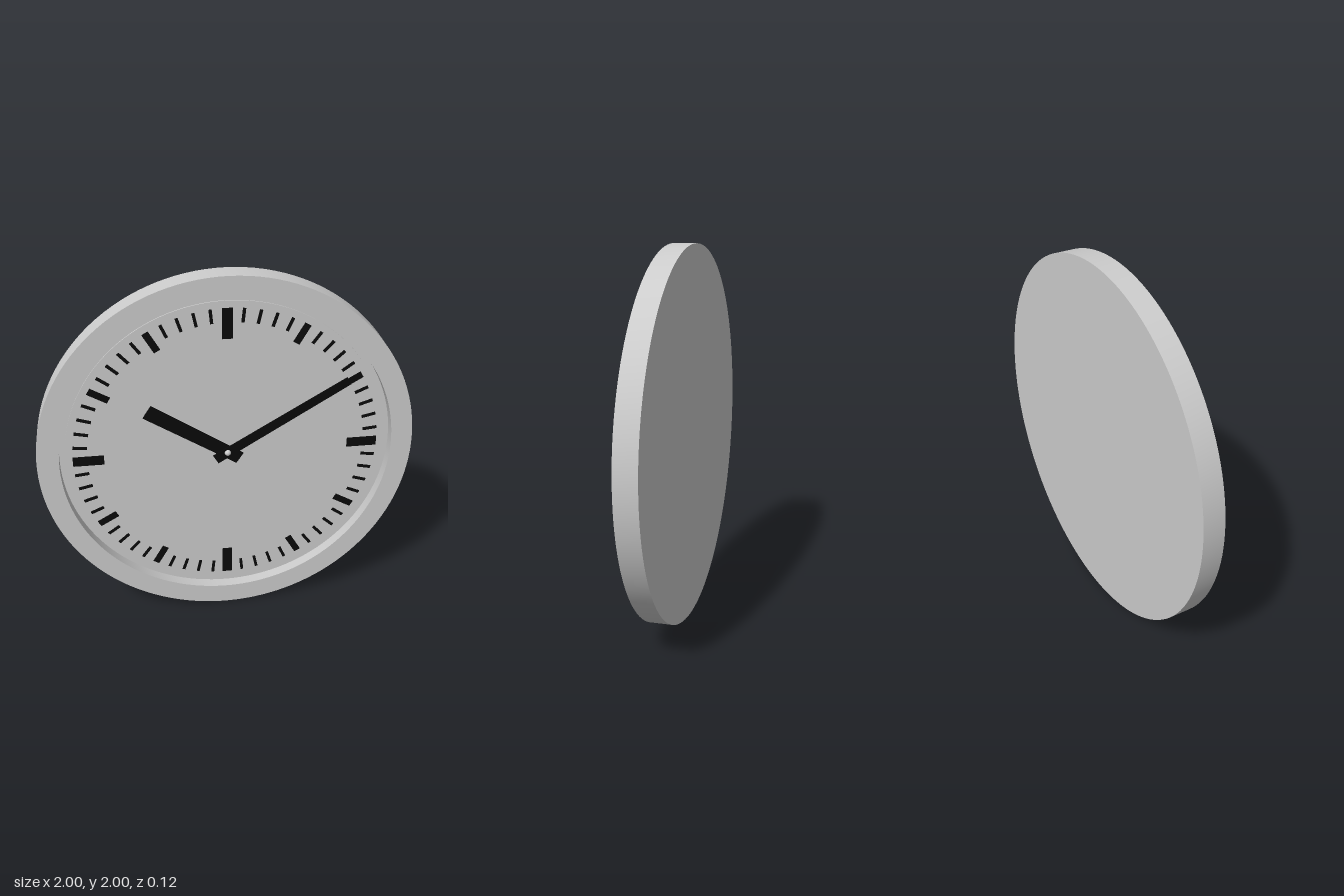
import * as THREE from 'three';
import { toCreasedNormals } from 'three/addons/utils/BufferGeometryUtils.js';

export function createModel() {
  const model = new THREE.Group();
  model.name = 'wallClock';

  const grey = new THREE.MeshStandardMaterial({ color: 0xcccccc });
  grey.name = 'light grey';
  const black = new THREE.MeshStandardMaterial({ color: 0x0a0a0a });
  black.name = 'black';

  // everything is built around the dial centre, one unit above the ground
  const clock = new THREE.Group();
  clock.name = 'clock';
  clock.position.y = 1;
  model.add(clock);

  const add = (name, geometry, material, parent = clock) => {
    const mesh = new THREE.Mesh(geometry, material);
    mesh.name = name;
    parent.add(mesh);
    return mesh;
  };

  // housing: closed back, raised rim and a recess for the dial
  const profile = [
    [0, -0.06], [1, -0.06], [1, 0.06], [0.885, 0.06], [0.885, 0], [0, 0],
  ].map(([r, z]) => new THREE.Vector2(r, z));
  const housing = new THREE.LatheGeometry(profile, 128).rotateX(Math.PI / 2);
  add('housing', toCreasedNormals(housing, 0.6), grey);

  // dial plate
  const dial = new THREE.CylinderGeometry(0.855, 0.855, 0.006, 128).rotateX(Math.PI / 2);
  add('dial', dial, grey).position.z = 0.003;

  // sixty marks: quarters are largest, then hours, then minutes
  const marks = new THREE.Group();
  marks.name = 'dialMarks';
  clock.add(marks);
  const outer = 0.817;
  for (let i = 0; i < 60; i++) {
    const [name, length, width] =
      i % 15 === 0 ? ['quarterMark', 0.163, 0.054]
      : i % 5 === 0 ? ['hourMark', 0.115, 0.036]
      : ['minuteMark', 0.075, 0.016];
    const bar = new THREE.BoxGeometry(width, length, 0.006);
    bar.translate(0, outer - length / 2, 0.008);
    add(name, bar, black, marks).rotation.z = -i * Math.PI / 30;
  }

  // tapered hand with a short tail behind the pivot
  const addHand = (name, length, tail, tipWidth, tailWidth, z, degrees) => {
    const shape = new THREE.Shape([
      new THREE.Vector2(-tailWidth / 2, -tail),
      new THREE.Vector2(tailWidth / 2, -tail),
      new THREE.Vector2(tipWidth / 2, length),
      new THREE.Vector2(-tipWidth / 2, length),
    ]);
    const hand = new THREE.ExtrudeGeometry(shape, { depth: 0.006, bevelEnabled: false });
    const mesh = add(name, hand, black);
    mesh.position.z = z;
    mesh.rotation.z = -THREE.MathUtils.degToRad(degrees);
  };
  addHand('hourHand', 0.5, 0.08, 0.08, 0.07, 0.013, -57);
  addHand('minuteHand', 0.745, 0.075, 0.046, 0.056, 0.021, 59);

  // pivot knob
  add('pivot', new THREE.SphereGeometry(0.017, 24, 16), grey).position.z = 0.027;

  return model;
}
